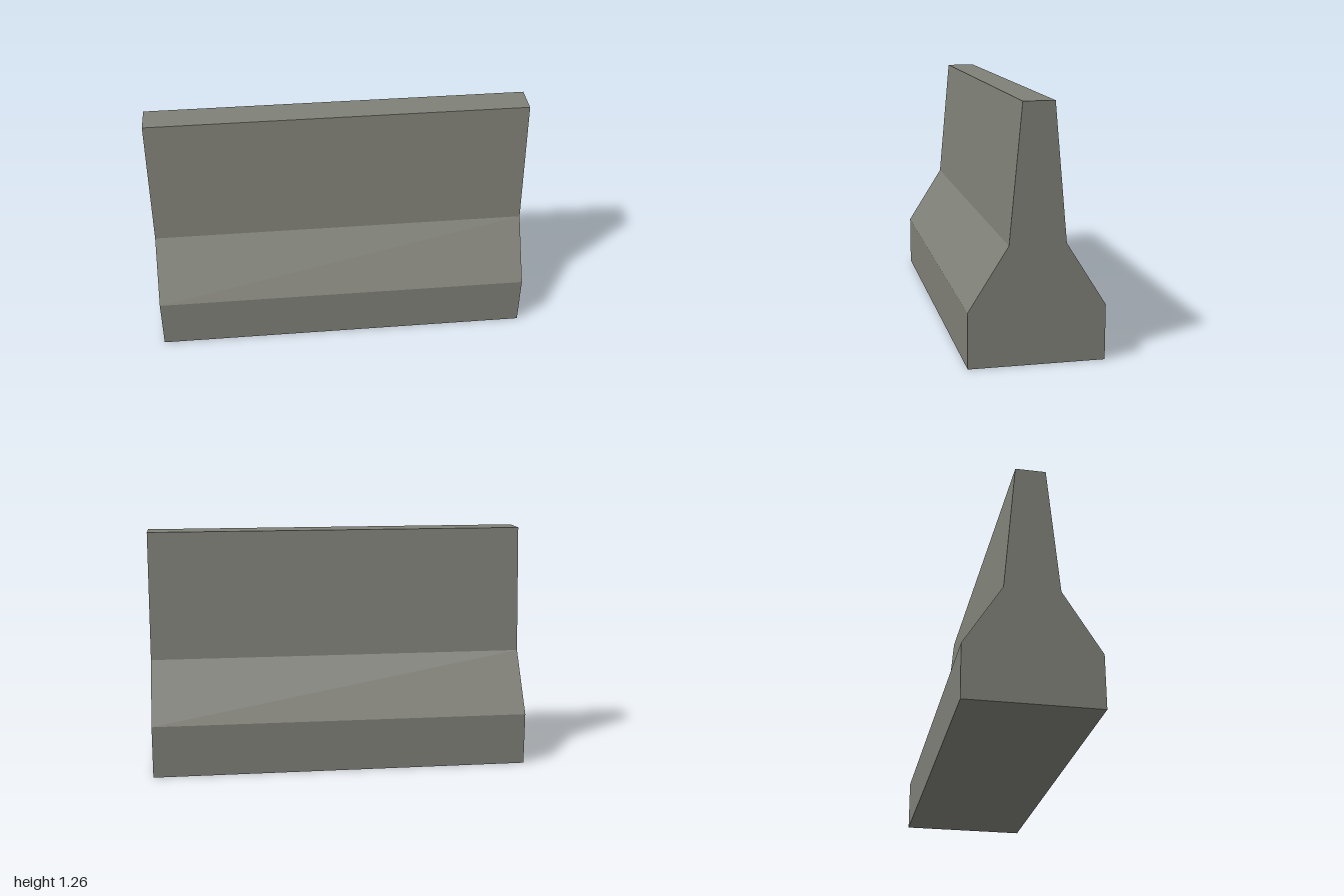
import * as THREE from 'three';

export function createModel() {
  const group = new THREE.Group();
  group.name = 'roadBarrier';

  const concrete = new THREE.MeshStandardMaterial({ color: 0x7f8077, flatShading: true });
  concrete.name = 'concrete grey';

  // Half profile (half depth, height), mirrored into a closed cross-section
  const half = [[0.336, 0], [0.336, 0.276], [0.139, 0.588], [0.077, 1.26]];
  const mirrored = half.map(([z, y]) => [-z, y]).reverse();
  const shape = new THREE.Shape([...half, ...mirrored].map(([z, y]) => new THREE.Vector2(z, y)));

  // Barrier body, swept along x and centred
  const length = 2;
  const geometry = new THREE.ExtrudeGeometry(shape, { depth: length, bevelEnabled: false });
  geometry.translate(0, 0, -length / 2);
  geometry.rotateY(Math.PI / 2);

  const body = new THREE.Mesh(geometry, concrete);
  body.name = 'barrierBody';
  group.add(body);
  return group;
}
